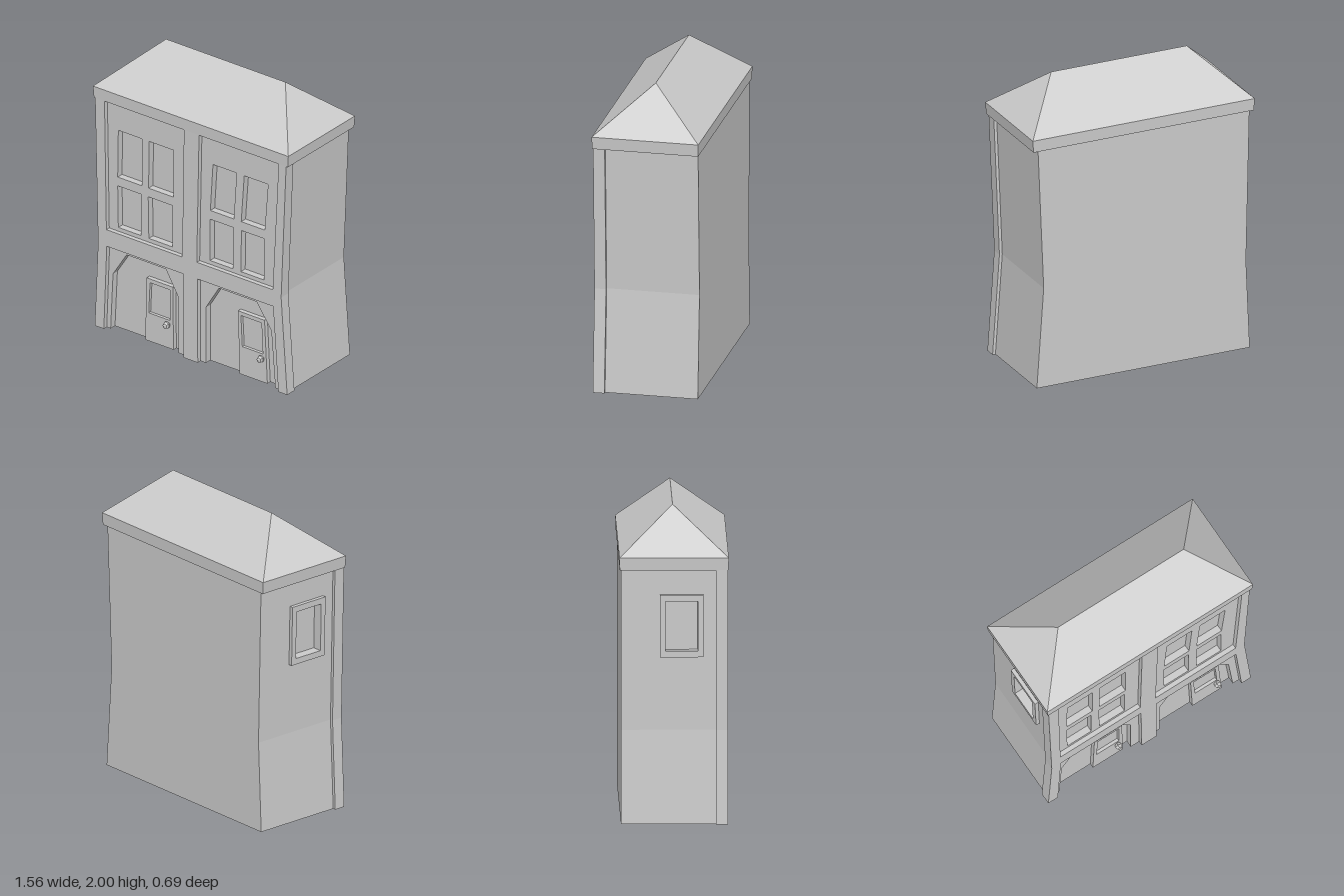
import * as THREE from 'three';

const material = new THREE.MeshStandardMaterial({ color: 0xcccccc, flatShading: true, side: THREE.DoubleSide });

// depths of the facade layers
const FRONT = 0.34, PANEL = 0.31, DEEP = 0.265, DOOR = 0.295, GLASS = 0.275, BACK = -0.335;
const INSET = 0.02; // side walls sit this far inside the facade

const at = (path, z) => path.map(([x, y]) => [x, y, z]);

// four corners from a top edge and a bottom edge
const quad = (top, l1, r1, bottom, l2, r2) => [[l2, bottom], [l1, top], [r1, top], [r2, bottom]];

function add(parent, name, geometry) {
  const mesh = new THREE.Mesh(geometry, material);
  mesh.name = name;
  parent.add(mesh);
  return mesh;
}

// flat sheet at depth z; notches are cut up from the bottom edge, holes are closed
function sheet(path, z, { notches = [], holes = [] } = {}) {
  const toV = ([x, y]) => new THREE.Vector2(x, y);
  const last = path[path.length - 1];
  const contour = [path[0], ...notches.flat(), last, ...path.slice(1, -1).reverse()];
  const shape = new THREE.Shape(contour.map(toV));
  shape.holes = holes.map((h) => new THREE.Path(h.map(toV)));
  return new THREE.ShapeGeometry(shape).translate(0, 0, z).toNonIndexed();
}

// ribbon of faces between two matching lines of points
function ribbon(a, b, closed = false) {
  const pos = [];
  const n = a.length;
  const same = (p, q) => p.every((v, i) => v === q[i]);
  for (let i = 0; i < (closed ? n : n - 1); i++) {
    const j = (i + 1) % n;
    pos.push(...a[i], ...a[j], ...b[j]);
    if (!same(b[i], b[j])) pos.push(...a[i], ...b[j], ...b[i]);
  }
  const g = new THREE.BufferGeometry();
  g.setAttribute('position', new THREE.Float32BufferAttribute(pos, 3));
  g.computeVertexNormals();
  return g;
}

const reveal = (path, z0, z1, closed = false) => ribbon(at(path, z0), at(path, z1), closed);

// waisted outline of the house, left base over the top to right base
const outline = [[-0.767, 0], [-0.741, 0.6], [-0.765, 1.64], [0.757, 1.64], [0.717, 0.68], [0.765, 0]];
const bodyLine = outline.map(([x, y]) => [x - Math.sign(x) * INSET, y]);

const bays = [
  {
    name: 'right',
    panel: quad(1.628, -0.69, -0.057, 0.715, -0.675, -0.071),
    windows: [
      quad(1.435, -0.603, -0.415, 1.1, -0.608, -0.415),
      quad(1.435, -0.357, -0.164, 1.1, -0.362, -0.164),
      quad(1.037, -0.608, -0.423, 0.742, -0.603, -0.423),
      quad(1.037, -0.365, -0.172, 0.742, -0.36, -0.172),
    ],
    shopFront: quad(0.597, -0.672, -0.066, 0, -0.695, -0.06),
    arch: [[-0.664, 0], [-0.645, 0.397], [-0.537, 0.567], [-0.225, 0.567], [-0.124, 0.397], [-0.124, 0]],
    door: quad(0.445, -0.389, -0.18, 0, -0.4, -0.175),
    doorWindow: quad(0.418, -0.362, -0.204, 0.2, -0.372, -0.204),
    knobX: -0.217,
  },
  {
    name: 'left',
    panel: quad(1.628, 0.063, 0.697, 0.715, 0.045, 0.65),
    windows: [
      quad(1.435, 0.151, 0.339, 1.1, 0.13, 0.317),
      quad(1.435, 0.4, 0.59, 1.1, 0.376, 0.563),
      quad(1.037, 0.127, 0.315, 0.742, 0.127, 0.312),
      quad(1.037, 0.378, 0.558, 0.742, 0.373, 0.558),
    ],
    shopFront: quad(0.597, 0.05, 0.653, 0, 0.053, 0.695),
    arch: [[0.095, 0], [0.095, 0.397], [0.198, 0.567], [0.5, 0.567], [0.616, 0.397], [0.648, 0]],
    door: quad(0.445, 0.339, 0.55, 0, 0.352, 0.573),
    doorWindow: quad(0.418, 0.362, 0.526, 0.2, 0.373, 0.537),
    knobX: 0.532,
  },
];

// one bay: recessed upper panel with four windows, arched recess with a door
function buildBay(bay) {
  const g = new THREE.Group();
  g.name = `${bay.name}Bay`;
  add(g, 'upperPanelEdge', reveal(bay.panel, FRONT, PANEL, true));
  add(g, 'upperPanel', sheet(bay.panel, PANEL, { holes: bay.windows }));
  for (const w of bay.windows) {
    add(g, 'windowReveal', reveal(w, PANEL, DEEP, true));
    add(g, 'windowPane', sheet(w, DEEP));
  }
  add(g, 'lowerPanelEdge', reveal(bay.shopFront, FRONT, PANEL));
  add(g, 'lowerPanel', sheet(bay.shopFront, PANEL, { notches: [bay.arch] }));
  add(g, 'archReveal', reveal(bay.arch, PANEL, DEEP));
  add(g, 'archWall', sheet(bay.arch, DEEP, { notches: [bay.door] }));
  add(g, 'doorEdge', reveal(bay.door, DEEP, DOOR));
  add(g, 'door', sheet(bay.door, DOOR, { holes: [bay.doorWindow] }));
  add(g, 'doorWindowReveal', reveal(bay.doorWindow, DOOR, GLASS, true));
  add(g, 'doorWindowPane', sheet(bay.doorWindow, GLASS));
  const knob = add(g, 'doorKnob', new THREE.SphereGeometry(0.025, 5, 4).rotateX(Math.PI / 2));
  knob.position.set(bay.knobX, 0.17, DOOR + 0.02);
  return g;
}

// side wall on -x with a framed window, drawn flat as (z, y, outward) then stood on the leaning wall
function buildWindowWall() {
  const g = new THREE.Group();
  g.name = 'windowWall';
  const [[x0, y0], [x1, y1], [x2, y2]] = bodyLine;
  const stand = (geo) => {
    const p = geo.attributes.position;
    for (let i = 0; i < p.count; i++) {
      const z = p.getX(i), y = p.getY(i), out = p.getZ(i);
      const x = y <= y1 ? x0 + (x1 - x0) * (y - y0) / (y1 - y0) : x1 + (x2 - x1) * (y - y1) / (y2 - y1);
      p.setXYZ(i, x - out, y, z);
    }
    geo.computeVertexNormals();
    return geo;
  };
  const outer = quad(1.47, -0.09, 0.185, 1.07, -0.09, 0.185);
  const inner = quad(1.43, -0.055, 0.15, 1.11, -0.055, 0.15);
  const lift = 0.025, sink = -0.04;
  add(g, 'lowerWall', stand(sheet(quad(y1, BACK, DEEP, y0, BACK, DEEP), 0)));
  add(g, 'upperWall', stand(sheet(quad(y2, BACK, DEEP, y1, BACK, DEEP), 0, { holes: [outer] })));
  add(g, 'frameEdge', stand(reveal(outer, 0, lift, true)));
  add(g, 'frameFace', stand(sheet(outer, lift, { holes: [inner] })));
  add(g, 'frameReveal', stand(reveal(inner, lift, sink, true)));
  add(g, 'sideWindowPane', stand(sheet(inner, sink)));
  return g;
}

// cornice band and hipped roof
function buildRoof() {
  const g = new THREE.Group();
  g.name = 'roof';
  const ring = (x, z, y) => [[-x, y, z], [x, y, z], [x, y, -z], [-x, y, -z]];
  const low = ring(0.772, 0.343, 1.63);
  const eave = ring(0.778, 0.345, 1.71);
  const left = [0.485, 2, -0.005], right = [-0.465, 2, -0.005];
  add(g, 'cornice', ribbon(low, eave, true));
  add(g, 'corniceUnderside', ribbon([low[3], low[2]], [low[0], low[1]]));
  add(g, 'roofSlopes', ribbon(eave, [right, left, left, right], true));
  return g;
}

export function createModel() {
  const house = new THREE.Group();
  house.name = 'townHouse';

  // facade with its edges
  add(house, 'facade', sheet(outline, FRONT, {
    notches: bays.map((b) => b.shopFront),
    holes: bays.map((b) => b.panel),
  }));
  add(house, 'facadeEdge', reveal(outline, FRONT, DEEP));
  add(house, 'facadeReturn', ribbon(at(outline, DEEP), at(bodyLine, DEEP)));
  for (const bay of bays) house.add(buildBay(bay));

  // remaining walls, open underneath
  add(house, 'plainWall', reveal(bodyLine.slice(3), DEEP, BACK));
  const back = sheet(bodyLine, 0);
  back.index = null;
  add(house, 'backWall', back.rotateY(Math.PI).scale(-1, 1, 1).translate(0, 0, BACK));
  house.add(buildWindowWall());
  house.add(buildRoof());
  return house;
}
